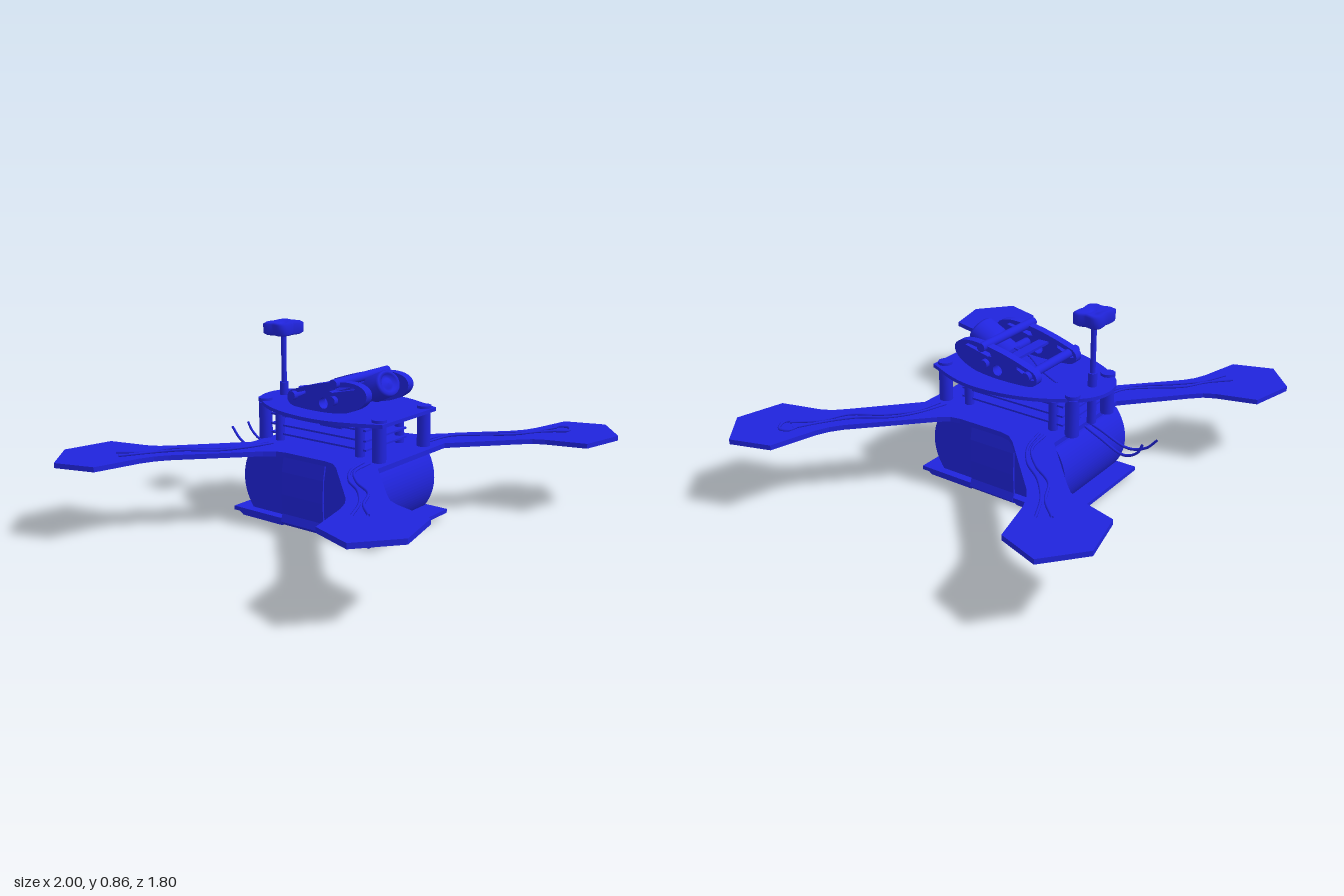
import * as THREE from 'three';

const BLUE = new THREE.MeshStandardMaterial({ color: 0x2024dd, side: THREE.DoubleSide });

export function createModel() {
  const root = new THREE.Group();
  root.name = 'racingDrone';

  // ---- helpers ----
  const add = (name, geo, x = 0, y = 0, z = 0) => {
    const m = new THREE.Mesh(geo, BLUE);
    m.name = name;
    m.position.set(x, y, z);
    root.add(m);
    return m;
  };
  const V = (pts) => pts.map(([a, b]) => new THREE.Vector2(a, b));
  const box = (name, w, h, d, x, y, z) => add(name, new THREE.BoxGeometry(w, h, d), x, y, z);
  const rod = (name, r, y0, y1, x, z, seg = 16) =>
    add(name, new THREE.CylinderGeometry(r, r, y1 - y0, seg), x, (y0 + y1) / 2, z);
  const barX = (name, r, len, y, z) =>
    add(name, new THREE.CylinderGeometry(r, r, len, 16).rotateZ(Math.PI / 2), 0, y, z);
  const wire = (name, pts, r = 0.006) => {
    const curve = new THREE.CatmullRomCurve3(pts.map((p) => new THREE.Vector3(...p)));
    return add(name, new THREE.TubeGeometry(curve, 48, r, 6), 0, 0, 0);
  };
  // horizontal plate: shape is drawn in (x, z), y is its top face
  const plate = (name, shape, thick, y) =>
    add(name, new THREE.ExtrudeGeometry(shape, { depth: thick, bevelEnabled: false, curveSegments: 20 })
      .rotateX(Math.PI / 2), 0, y, 0);
  // side profile: shape is drawn in (z, y), extruded along x around its centre
  const profile = (name, shape, width, x = 0) =>
    add(name, new THREE.ExtrudeGeometry(shape, { depth: width, bevelEnabled: false, curveSegments: 20 })
      .translate(0, 0, -width / 2).rotateY(-Math.PI / 2), x, 0, 0);

  // ---- main frame: body and four arms with motor pads ----
  const quarter = [
    [0.25, 0.345], [0.5, 0.57], [0.55, 0.62], [0.575, 0.67], [0.625, 0.85], [0.84, 0.9],
    [1, 0.765], [0.94, 0.585], [0.74, 0.535], [0.68, 0.51], [0.63, 0.475],
    [0.34, 0.2], [0.305, 0.155], [0.295, 0.11],
  ];
  const flip = (sx, sz) => quarter.map(([x, z]) => [x * sx, z * sz]);
  plate('frame', new THREE.Shape(V([
    ...flip(1, 1), ...flip(1, -1).reverse(), ...flip(-1, -1), ...flip(-1, 1).reverse(),
  ])), 0.022, 0.35);

  // ---- battery slung under the frame, with bulging ends ----
  const pack = new THREE.Shape();
  pack.moveTo(0.25, 0.045);
  pack.bezierCurveTo(0.315, 0.13, 0.315, 0.235, 0.25, 0.322);
  pack.lineTo(-0.35, 0.322);
  pack.bezierCurveTo(-0.415, 0.235, -0.415, 0.13, -0.35, 0.045);
  profile('battery', pack, 0.49);

  // ---- landing tray with chamfered pads ----
  box('tray', 0.55, 0.018, 0.79, 0, 0.03, -0.045);
  const pad = (z0, z1) => profile('trayPad', new THREE.Shape(V([
    [z0, 0.022], [z0 + 0.035, 0], [z1 - 0.035, 0], [z1, 0.022],
  ])), 0.52);
  pad(0.05, 0.345);
  pad(-0.435, -0.13);

  // ---- strap around battery and tray ----
  const strap = new THREE.Shape(V([
    [-0.255, 0.33], [-0.27, 0.25], [-0.275, 0.15], [-0.27, 0.06], [-0.282, 0.025], [-0.265, 0.008],
    [0.265, 0.008], [0.282, 0.025], [0.27, 0.06], [0.275, 0.15], [0.27, 0.25], [0.255, 0.33],
  ]));
  strap.holes.push(new THREE.Path(V([
    [-0.247, 0.324], [-0.262, 0.25], [-0.266, 0.15], [-0.262, 0.06], [-0.272, 0.027], [-0.26, 0.018],
    [0.26, 0.018], [0.272, 0.027], [0.262, 0.06], [0.266, 0.15], [0.262, 0.25], [0.247, 0.324],
  ])));
  add('strap', new THREE.ExtrudeGeometry(strap, { depth: 0.23, bevelEnabled: false }), 0, 0, -0.155);

  // ---- egg shaped top deck ----
  const deck = new THREE.Shape();
  deck.moveTo(-0.2, 0.33);
  deck.lineTo(0.2, 0.33);
  deck.bezierCurveTo(0.23, 0.25, 0.29, 0.16, 0.292, 0.02);
  deck.bezierCurveTo(0.29, -0.14, 0.24, -0.27, 0.15, -0.38);
  deck.bezierCurveTo(0.08, -0.48, -0.08, -0.48, -0.15, -0.38);
  deck.bezierCurveTo(-0.24, -0.27, -0.29, -0.14, -0.292, 0.02);
  deck.bezierCurveTo(-0.29, 0.16, -0.23, 0.25, -0.2, 0.33);
  plate('topDeck', deck, 0.016, 0.52);

  // ---- standoffs, screw heads and electronics posts ----
  for (const s of [-1, 1]) {
    for (const [x, z] of [[0.165, 0.29], [0.14, -0.36]]) {
      rod('standoff', 0.03, 0.345, 0.51, s * x, z);
      rod('screwHead', 0.032, 0.515, 0.532, s * x, z);
    }
    for (const z of [0.175, -0.27]) rod('stackPost', 0.021, 0.345, 0.48, s * 0.145, z, 12);
  }

  // ---- electronics stack ----
  for (const y of [0.38, 0.42, 0.465]) box('circuitBoard', 0.3, 0.008, 0.53, 0, y, -0.055);
  box('chip', 0.12, 0.02, 0.12, 0, 0.434, -0.05);

  // ---- camera cage: two slotted side plates joined by rods ----
  for (const s of [-1, 1]) {
    const cheek = new THREE.Shape();
    cheek.moveTo(0.225, 0.6);
    cheek.bezierCurveTo(0.24, 0.64, 0.2, 0.668, 0.12, 0.665);
    cheek.bezierCurveTo(0.02, 0.66, -0.1, 0.625, -0.18, 0.595);
    cheek.bezierCurveTo(-0.215, 0.575, -0.21, 0.53, -0.16, 0.525);
    cheek.bezierCurveTo(-0.05, 0.515, 0.06, 0.52, 0.12, 0.533);
    cheek.bezierCurveTo(0.18, 0.55, 0.215, 0.575, 0.225, 0.6);
    cheek.holes.push(
      new THREE.Path(V([[0.17, 0.64], [0.16, 0.65], [0.04, 0.632], [0.03, 0.615], [0.05, 0.612]])),
      new THREE.Path(V([[-0.1, 0.602], [-0.18, 0.578], [-0.19, 0.56], [-0.17, 0.556], [-0.1, 0.59]])),
      new THREE.Path().absarc(0, 0.56, 0.024, 0, Math.PI * 2),
    );
    profile('cameraCheek', cheek, 0.04, s * 0.152);
  }
  for (const [y, z] of [[0.655, 0.07], [0.58, 0.06], [0.575, -0.16]]) barX('cageRod', 0.02, 0.39, y, z);
  box('cameraBracket', 0.27, 0.012, 0.05, 0, 0.6, -0.03);

  // ---- camera, tilted upwards ----
  const camera = add('camera', new THREE.LatheGeometry(V([
    [0, -0.1], [0.06, -0.1], [0.06, 0], [0.078, 0.005], [0.078, 0.08], [0.07, 0.09],
    [0.052, 0.09], [0.05, 0.07], [0.03, 0.08], [0, 0.084],
  ]), 32), 0, 0.61, 0.14);
  camera.rotation.x = Math.PI / 2 - 0.45;
  camera.scale.z = 0.75;

  // ---- video antenna with four-lobed head ----
  rod('antennaMast', 0.012, 0.5, 0.82, -0.005, -0.365);
  rod('antennaSleeve', 0.02, 0.35, 0.58, -0.005, -0.365);
  const head = new THREE.LatheGeometry(V([
    [0, 0.81], [0.02, 0.812], [0.07, 0.8], [0.082, 0.808], [0.084, 0.85], [0.07, 0.858], [0.02, 0.846], [0, 0.848],
  ]), 48);
  const p = head.attributes.position;
  for (let i = 0; i < p.count; i++) {
    const a = Math.atan2(p.getZ(i), p.getX(i));
    const k = 0.86 + 0.14 * Math.cos(4 * (a - Math.PI / 4));
    p.setX(i, p.getX(i) * k * 1.2);
    p.setZ(i, p.getZ(i) * k);
  }
  head.computeVertexNormals();
  add('antennaHead', head, -0.005, 0, -0.365);

  // ---- motor leads along the arms ----
  for (const sx of [-1, 1]) for (const sz of [-1, 1]) for (const o of [0, 1]) {
    const line = [
      [0.22, 0.28 - o * 0.03], [0.36, 0.31 - o * 0.02], [0.46, 0.4 - o * 0.04],
      [0.55, 0.52 - o * 0.05], [0.66, 0.58 - o * 0.02], [0.75 + o * 0.03, 0.67 - o * 0.05],
    ];
    wire('motorLead', line.map(([x, z], i) => [x * sx, 0.354 + 0.003 * (i % 2), z * sz]));
  }
  wire('leadLoop', [[0.72, 0.357, 0.65], [0.76, 0.357, 0.69], [0.82, 0.357, 0.66], [0.81, 0.357, 0.62], [0.77, 0.357, 0.61]]);

  // ---- receiver aerials and loose cables ----
  wire('aerial', [[-0.02, 0.35, -0.3], [-0.04, 0.31, -0.38], [-0.055, 0.25, -0.52], [-0.05, 0.28, -0.61], [-0.047, 0.33, -0.66]]);
  wire('aerial', [[0.01, 0.35, -0.3], [0.015, 0.3, -0.42], [0.035, 0.265, -0.55], [0.045, 0.3, -0.62], [0.04, 0.34, -0.64]]);
  wire('cableLoop', [[0.02, 0.5, 0.03], [0.0, 0.475, -0.05], [0.05, 0.49, -0.2], [0.06, 0.44, -0.33], [0.04, 0.4, -0.2], [0.0, 0.38, -0.05]], 0.005);
  wire('cameraCable', [[0, 0.6, 0.04], [-0.05, 0.56, 0.0], [0.02, 0.54, -0.12], [0.06, 0.52, -0.23]], 0.005);

  return root;
}
